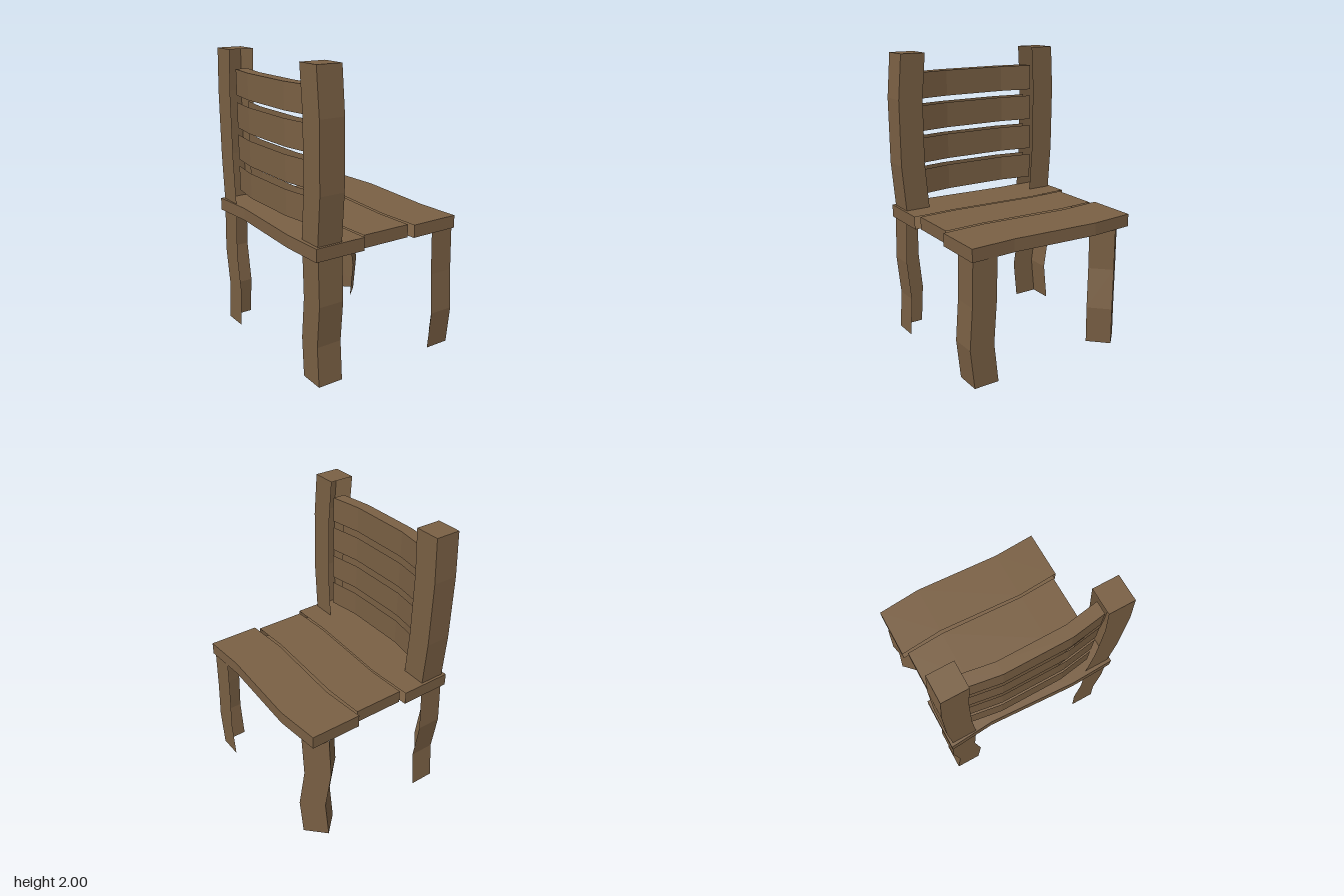
import * as THREE from 'three';

const wood = new THREE.MeshStandardMaterial({ color: 0x7a6044, flatShading: true, side: THREE.DoubleSide });

// Skin four-cornered rings; sides lists the walls to build, caps the closed ends
function loft(name, rings, sides, capStart, capEnd) {
  const pos = [];
  const quad = (a, b, c, d) => [a, b, c, a, c, d].forEach((p) => pos.push(...p));
  for (let k = 0; k < rings.length - 1; k++) {
    const a = rings[k], b = rings[k + 1];
    for (const i of sides) {
      const j = (i + 1) % 4;
      quad(a[i], a[j], b[j], b[i]);
    }
  }
  const first = rings[0], last = rings[rings.length - 1];
  if (capStart) quad(first[3], first[2], first[1], first[0]);
  if (capEnd) quad(last[0], last[1], last[2], last[3]);
  const geo = new THREE.BufferGeometry();
  geo.setAttribute('position', new THREE.Float32BufferAttribute(pos, 3));
  geo.computeVertexNormals();
  const mesh = new THREE.Mesh(geo, wood);
  mesh.name = name;
  return mesh;
}

// Horizontal square ring; its walls are 0: +x, 1: -z, 2: -x, 3: +z
const HALF = 0.0875;
function squareRing(x, y, z, turn = 0) {
  const c = Math.cos(turn) * HALF, s = Math.sin(turn) * HALF;
  return [[1, 1], [1, -1], [-1, -1], [-1, 1]].map(([u, v]) => [x + u * c + v * s, y, z - u * s + v * c]);
}

// Board along z from stations [z, xMin, xMax]; its walls are 0: top, 1: -x, 2: bottom, 3: +x
function board(name, stations, y0, y1, walls, capped) {
  const rings = stations.map(([z, x0, x1]) => [[x1, y1, z], [x0, y1, z], [x0, y0, z], [x1, y0, z]]);
  return loft(name, rings, walls, capped, capped);
}

export function createModel() {
  const chair = new THREE.Group();
  chair.name = 'woodenChair';

  // Seat: three wavy planks, open along the edges that meet
  const planks = [
    ['rearSeatPlank', [[-0.623, -0.557, -0.2], [-0.31, -0.534, -0.18], [0.31, -0.566, -0.21], [0.62, -0.555, -0.2]], [0, 1, 2]],
    ['middleSeatPlank', [[-0.585, -0.183, 0.171], [-0.31, -0.17, 0.187], [0.31, -0.197, 0.16], [0.587, -0.183, 0.173]], [0, 2]],
    ['frontSeatPlank', [[-0.623, 0.183, 0.537], [-0.31, 0.21, 0.565], [0.31, 0.177, 0.533], [0.62, 0.197, 0.55]], [0, 2, 3]],
  ];
  for (const [name, stations, walls] of planks) chair.add(board(name, stations, 0.848, 0.935, walls, true));

  // Legs: crooked shells, three of them with only their two outer walls
  const legY = [0, 0.27, 0.55, 0.85];
  const backX = -0.446, frontX = 0.45;
  const legs = [
    ['frontLegLeft', frontX, [0.52, 0.55, 0.53, 0.522], [0, 3]],
    ['backLegLeft', backX, [0.52, 0.503, 0.53, 0.52], [2, 3]],
    ['backLegRight', backX, [-0.52, -0.493, -0.535, -0.52], [1, 2]],
  ];
  for (const [name, x, zs, walls] of legs) {
    chair.add(loft(name, legY.map((y, i) => squareRing(x, y, zs[i])), walls, false, false));
  }
  // The fourth leg is turned to stand cornerwise, open on its inner side
  const sway = [0, 0.016, -0.01, 0];
  chair.add(loft('frontLegRight',
    legY.map((y, i) => squareRing(0.42 + sway[i], y, -0.505 + sway[i], Math.PI / 4)),
    [0, 1, 3], false, false));

  // Back posts, open on the side that takes the slats
  const postY = [0.935, 1.25, 1.7, 2];
  const posts = [
    ['backPostLeft', [0.515, 0.541, 0.541, 0.514], [0, 2, 3]],
    ['backPostRight', [-0.517, -0.538, -0.543, -0.527], [0, 1, 2]],
  ];
  for (const [name, zs, walls] of posts) {
    chair.add(loft(name, postY.map((y, i) => squareRing(backX, y, zs[i])), walls, false, true));
  }

  // Four bowed back slats: front and back faces, with a top on the highest
  const bow = [[-0.455, -0.485, -0.398], [-0.225, -0.52, -0.435], [0.225, -0.52, -0.435], [0.455, -0.485, -0.398]];
  for (let i = 0; i < 4; i++) {
    const y = 1.025 + i * 0.2225;
    chair.add(board(`backSlat${i + 1}`, bow, y, y + 0.175, i === 3 ? [0, 1, 3] : [1, 3], false));
  }
  return chair;
}
